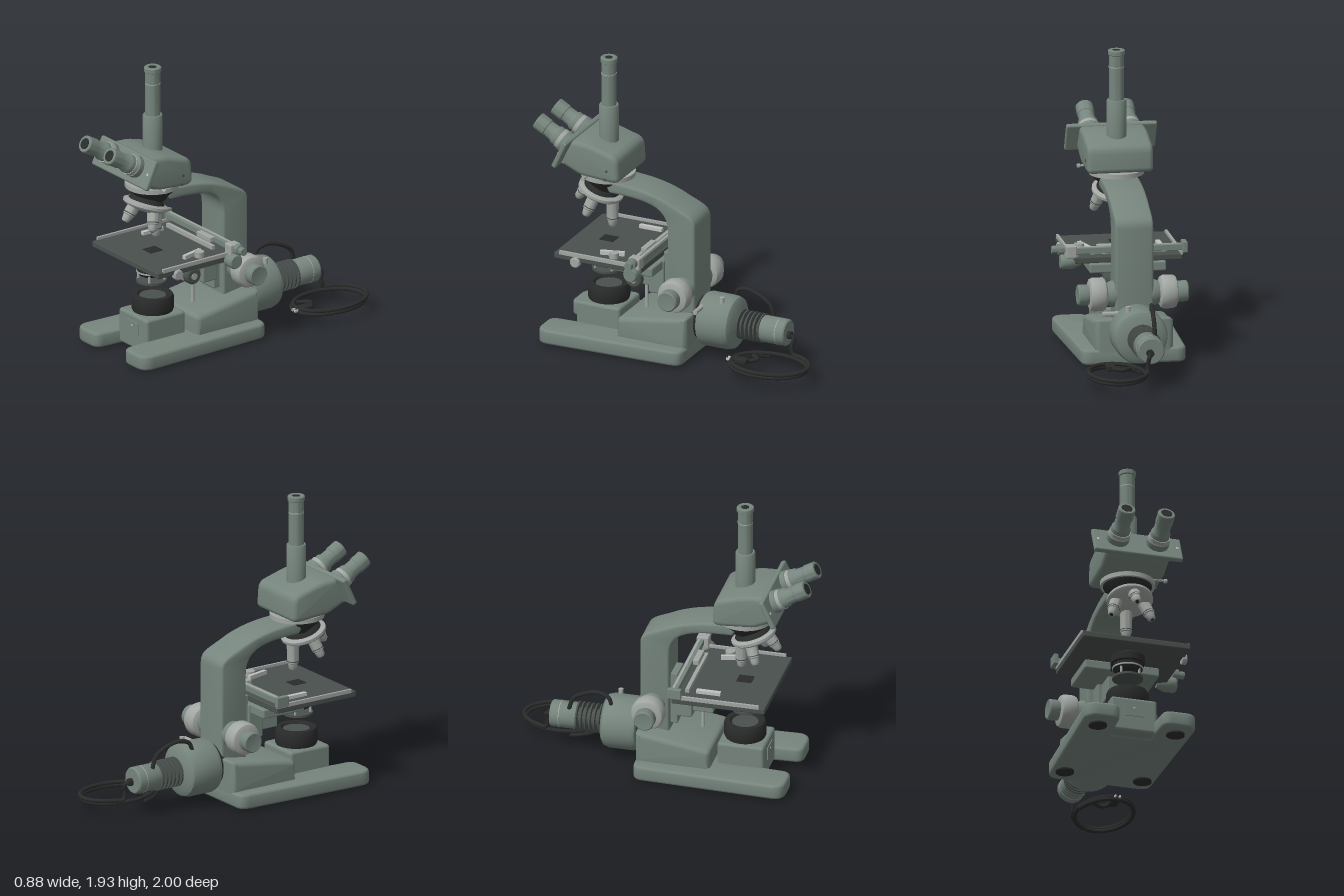
import * as THREE from 'three';
import { toCreasedNormals } from 'three/addons/utils/BufferGeometryUtils.js';
import { RoundedBoxGeometry } from 'three/addons/geometries/RoundedBoxGeometry.js';

const paint = (name, color) => Object.assign(new THREE.MeshStandardMaterial({ color }), { name });
const BODY = paint('greyGreenEnamel', 0x76857d);
const LIGHT = paint('lightGreyMetal', 0xa2a7a3);
const SILVER = paint('silver', 0xbfc3c0);
const DARK = paint('darkStage', 0x4a514d);
const BLACK = paint('black', 0x2a2c2b);
const RAD = Math.PI / 180;

function add(parent, name, geo, mat, x = 0, y = 0, z = 0) {
  const m = new THREE.Mesh(geo, mat);
  m.name = name;
  m.position.set(x, y, z);
  parent.add(m);
  return m;
}

function group(parent, name, x = 0, y = 0, z = 0, rx = 0) {
  const g = new THREE.Group();
  g.name = name;
  g.position.set(x, y, z);
  g.rotation.x = rx;
  parent.add(g);
  return g;
}

// Box given by its extents
function box(parent, name, mat, [x0, x1], [y0, y1], [z0, z1], r = 0) {
  const s = [x1 - x0, y1 - y0, z1 - z0];
  const geo = r ? new RoundedBoxGeometry(...s, 2, r) : new THREE.BoxGeometry(...s);
  return add(parent, name, geo, mat, (x0 + x1) / 2, (y0 + y1) / 2, (z0 + z1) / 2);
}

// Turned part: profile of [radius, height], closed at both ends, along 'y', '+x', '-x' or '-z'
function turned(parent, name, mat, profile, x, y, z, axis = 'y', sides = 36) {
  const pts = [[0, profile[0][1]], ...profile, [0, profile[profile.length - 1][1]]];
  const geo = toCreasedNormals(new THREE.LatheGeometry(pts.map(p => new THREE.Vector2(...p)), sides), 0.6);
  if (axis === '+x') geo.rotateZ(-Math.PI / 2);
  if (axis === '-x') geo.rotateZ(Math.PI / 2);
  if (axis === '-z') geo.rotateX(-Math.PI / 2);
  return add(parent, name, geo, mat, x, y, z);
}
const rod = (r, a, b) => [[r, a], [r, b]];

// Polygon with rounded corners, points are [u, v, radius]
function roundShape(pts) {
  const s = new THREE.Shape(), n = pts.length;
  pts.forEach(([u, v, r = 0.01], i) => {
    const c = new THREE.Vector2(u, v);
    const toward = q => {
      const d = new THREE.Vector2(q[0], q[1]).sub(c);
      return c.clone().add(d.setLength(Math.min(r, d.length() / 2)));
    };
    const a = toward(pts[(i + n - 1) % n]), b = toward(pts[(i + 1) % n]);
    if (i) s.lineTo(a.x, a.y); else s.moveTo(a.x, a.y);
    s.quadraticCurveTo(c.x, c.y, b.x, b.y);
  });
  s.closePath();
  return s;
}

function extrude(shape, depth, bevel) {
  const geo = new THREE.ExtrudeGeometry(shape, {
    depth: depth - 2 * bevel, bevelSize: bevel, bevelThickness: bevel,
    bevelOffset: -bevel, bevelSegments: 3, curveSegments: 12,
  });
  return geo.translate(0, 0, bevel);
}

// Side outline in (z, y), given width across x
function sideSolid(parent, name, mat, shape, width, bevel) {
  const geo = extrude(shape, width, bevel).translate(0, 0, -width / 2).rotateY(-Math.PI / 2);
  return add(parent, name, toCreasedNormals(geo, 0.6), mat);
}

function tube(parent, name, mat, pts, r, segments) {
  const curve = new THREE.CatmullRomCurve3(pts.map(p => new THREE.Vector3(...p)));
  return add(parent, name, new THREE.TubeGeometry(curve, segments, r, 8), mat);
}

function buildStand(g) {
  // Base with two forward legs, drawn in (x, -z)
  const half = [[0.145, -0.875, 0.06], [0.375, -0.875, 0.09], [0.34, 0.14, 0.07]];
  const slot = [0.13, -0.6, 0.02];
  const mirror = ([x, y, r]) => [-x, y, r];
  const plan = roundShape([slot, ...half, ...half.map(mirror).reverse(), mirror(slot)]);
  add(g, 'base', toCreasedNormals(extrude(plan, 0.1, 0.018).rotateX(-Math.PI / 2), 0.6), BODY, 0, 0.01, 0);
  for (const x of [-0.26, 0.26]) for (const z of [0.74, 0])
    turned(g, 'foot', BLACK, rod(0.06, 0, 0.012), x, 0, z);
  sideSolid(g, 'pillarBase', BODY, roundShape([[0.355, 0.08], [0.355, 0.235, 0.03], [-0.14, 0.312, 0.02], [-0.14, 0.08]]), 0.51, 0.035);

  // Curved arm
  const arm = new THREE.Shape();
  arm.moveTo(-0.14, 0.2);
  arm.lineTo(-0.14, 0.9);
  arm.bezierCurveTo(-0.14, 0.98, -0.06, 0.985, 0.05, 1.04);
  arm.bezierCurveTo(0.17, 1.09, 0.3, 1.11, 0.47, 1.112);
  arm.quadraticCurveTo(0.51, 1.075, 0.47, 1.035);
  arm.bezierCurveTo(0.23, 1.03, 0.055, 1.02, 0.055, 0.84);
  arm.lineTo(0.055, 0.2);
  arm.closePath();
  sideSolid(g, 'arm', BODY, arm, 0.248, 0.016);

  // Field lamp in the base
  box(g, 'lampBlock', BODY, [-0.155, 0.155], [0.02, 0.255], [0.38, 0.69], 0.02);
  box(g, 'lampBlockPlaque', BODY, [-0.065, 0.065], [0.125, 0.21], [0.68, 0.696]);
  turned(g, 'plaqueScrew', SILVER, rod(0.008, -0.002, 0.006), 0, 0.18, 0.692);
  turned(g, 'fieldLens', BLACK, [[0.125, 0.24], [0.137, 0.27], [0.137, 0.345], [0.128, 0.365], [0.1, 0.365], [0.09, 0.35]], 0, 0, 0.53);
  turned(g, 'fieldGlass', DARK, rod(0.085, 0.345, 0.354), 0, 0, 0.53);

  // Focus knobs
  for (const s of [-1, 1]) {
    const a = s > 0 ? '+x' : '-x';
    turned(g, 'focusHub', BODY, [[0.085, 0.1], [0.085, 0.14], [0.065, 0.185]], 0, 0.46, -0.055, a);
    turned(g, 'coarseKnob', LIGHT, [[0.075, 0.17], [0.1, 0.182], [0.109, 0.2], [0.109, 0.26], [0.1, 0.28], [0.08, 0.288]], 0, 0.46, -0.055, a, 48);
    turned(g, 'fineKnob', BODY, [[0.06, 0.28], [0.068, 0.3], [0.068, 0.352], [0.06, 0.36], [0.05, 0.358]], 0, 0.46, -0.055, a);
  }
}

function buildHead(g) {
  sideSolid(g, 'headHousing', BODY, roundShape([[0.785, 1.225], [0.705, 1.39, 0.02], [0.585, 1.385, 0.04],
    [0.372, 1.325, 0.05], [0.36, 1.16, 0.03], [0.4, 1.143, 0.03], [0.64, 1.16, 0.03]]), 0.43, 0.03);
  const plate = group(g, 'frontPlate', 0, 1.31, 0.745, -25 * RAD);
  box(plate, 'eyepiecePlate', BODY, [-0.297, 0.297], [-0.1, 0.1], [-0.015, 0.02], 0.012);
  for (const x of [-0.265, 0.265]) box(plate, 'plateScrew', SILVER, [x - 0.008, x + 0.008], [-0.008, 0.008], [0.015, 0.024]);
  for (const x of [-0.133, 0.133]) {
    const e = group(g, 'eyepiece', x, 1.325, 0.745, 60 * RAD);
    turned(e, 'eyepieceCollar', BODY, [[0.07, 0], [0.075, 0.02], [0.075, 0.05], [0.068, 0.055]], 0, 0, 0);
    turned(e, 'collarRing', LIGHT, rod(0.069, 0.05, 0.08), 0, 0, 0);
    turned(e, 'eyepieceTube', BODY, [[0.064, 0.08], [0.064, 0.11], [0.054, 0.125], [0.052, 0.18], [0.057, 0.185],
      [0.057, 0.258], [0.052, 0.264], [0.038, 0.264], [0.034, 0.257]], 0, 0, 0);
    turned(e, 'eyepieceLens', BLACK, rod(0.036, 0.255, 0.266), 0, 0, 0);
  }
  // Vertical camera tube
  turned(g, 'cameraTube', BODY, [[0.064, 1.34], [0.064, 1.595], [0.06, 1.602], [0.049, 1.602], [0.049, 1.895],
    [0.056, 1.9], [0.056, 1.925], [0.05, 1.93], [0.03, 1.93], [0.026, 1.92]], 0, 0, 0.53);
  turned(g, 'cameraTubeRing', LIGHT, rod(0.0505, 1.815, 1.821), 0, 0, 0.53);
  turned(g, 'cameraTubeOpening', BLACK, rod(0.024, 1.918, 1.928), 0, 0, 0.53);
  turned(g, 'headLockScrew', LIGHT, [[0.008, 0.15], [0.008, 0.225], [0.014, 0.227], [0.014, 0.245]], 0, 1.155, 0.6, '+x', 16);
  for (const [y, z] of [[1.225, 0.445], [1.165, 0.455]])
    turned(g, 'headScrew', DARK, rod(0.009, 0.205, 0.219), 0, y, z, '+x', 12);

  // Mount and revolving nosepiece
  turned(g, 'mountRim', LIGHT, rod(0.177, 1.112, 1.142), 0, 0, 0.535, 'y', 48);
  turned(g, 'mountCone', BLACK, [[0.09, 1.02], [0.105, 1.045], [0.15, 1.09], [0.16, 1.115]], 0, 0, 0.535);
  const nose = group(g, 'nosepiece', 0, 0.995, 0.585, -19 * RAD);
  turned(nose, 'nosepieceHub', BLACK, [[0.13, -0.02], [0.12, 0.02], [0.08, 0.06]], 0, 0, 0);
  turned(nose, 'nosepieceRing', LIGHT, [[0.11, -0.035], [0.14, -0.02], [0.15, -0.01], [0.15, 0.008], [0.13, 0.018]], 0, 0, 0, 'y', 48);
  [0.2, 0.145, 0.13, 0.145].forEach((len, i) => {
    const spin = group(nose, 'objectiveMount');
    spin.rotation.y = i * Math.PI / 2;
    const o = group(spin, 'objective', 0, -0.012, -0.09, 19 * RAD);
    turned(o, 'objectiveBarrel', LIGHT, [[0.018, -len], [0.027, -len + 0.012], [0.032, -len + 0.045], [0.038, -len + 0.05], [0.04, -0.02], [0.043, 0]], 0, 0, 0, 'y', 28);
    turned(o, 'objectiveBand', DARK, rod(0.0395, -len + 0.058, -len + 0.064), 0, 0, 0, 'y', 28);
    turned(o, 'objectiveLens', BLACK, rod(0.012, -len - 0.002, -len + 0.005), 0, 0, 0, 'y', 16);
  });
}

function buildStage(g) {
  box(g, 'stagePlate', DARK, [-0.36, 0.36], [0.62, 0.662], [0.13, 0.75], 0.008);
  box(g, 'stageOpening', BLACK, [-0.045, 0.045], [0.655, 0.665], [0.48, 0.58]);
  for (const x of [-0.355, 0.355]) box(g, 'stageEdgeStrip', LIGHT, [x - 0.008, x + 0.008], [0.655, 0.68], [0.13, 0.71]);
  box(g, 'stageSupport', BODY, [-0.25, 0.25], [0.56, 0.622], [0.1, 0.42], 0.01);
  box(g, 'stageBracket', BODY, [-0.1, 0.1], [0.385, 0.62], [0.09, 0.2], 0.01);
  box(g, 'stageSlide', BODY, [-0.08, 0.08], [0.32, 0.68], [0.04, 0.1], 0.006);

  // Mechanical specimen carriage
  box(g, 'carriageRail', BODY, [-0.385, 0.39], [0.685, 0.725], [0.125, 0.17], 0.004);
  box(g, 'carriageScale', LIGHT, [-0.34, 0.36], [0.722, 0.73], [0.133, 0.15]);
  box(g, 'railEndBlock', BODY, [-0.392, -0.36], [0.67, 0.74], [0.11, 0.2], 0.005);
  box(g, 'carriage', LIGHT, [0.04, 0.19], [0.695, 0.73], [0.17, 0.21], 0.004);
  box(g, 'slideHolder', LIGHT, [-0.27, 0.23], [0.663, 0.69], [0.2, 0.225]);
  box(g, 'slideClip', SILVER, [-0.265, -0.235], [0.663, 0.685], [0.27, 0.43]);
  const arm = box(g, 'slideFinger', SILVER, [0.225, 0.25], [0.663, 0.69], [0.31, 0.47]);
  arm.rotation.y = 0.25;
  turned(g, 'fingerPivot', LIGHT, rod(0.032, 0.663, 0.7), 0.275, 0, 0.36, 'y', 20);
  turned(g, 'upperStageKnob', BODY, [[0.015, 0.38], [0.015, 0.41], [0.035, 0.412], [0.035, 0.45], [0.025, 0.452], [0.025, 0.49]], 0, 0.715, 0.16, '+x', 24);
  box(g, 'knobBracket', LIGHT, [0.33, 0.4], [0.66, 0.74], [0.12, 0.2], 0.008);
  turned(g, 'lowerStageKnob', BODY, [[0.03, 0.3], [0.05, 0.355], [0.05, 0.42], [0.042, 0.432]], 0, 0.63, 0.175, '+x', 28);
  turned(g, 'stageLockKnob', LIGHT, [[0.035, 0.345], [0.035, 0.372], [0.028, 0.378]], 0, 0.62, 0.595, '+x', 24);

  // Condenser, its holder and focusing knob
  turned(g, 'condenserTop', BLACK, [[0.1, 0.552], [0.11, 0.56], [0.11, 0.605], [0.09, 0.62]], 0, 0, 0.54);
  box(g, 'condenserHolder', BLACK, [-0.08, 0.08], [0.56, 0.6], [0.32, 0.54], 0.006);
  turned(g, 'condenserBody', BLACK, [[0.08, 0.5], [0.096, 0.52], [0.096, 0.555]], 0, 0, 0.54);
  turned(g, 'condenserRing', LIGHT, rod(0.1, 0.522, 0.532), 0, 0, 0.54);
  turned(g, 'filterTray', DARK, [[0.09, 0.448], [0.1, 0.452], [0.1, 0.467]], 0, 0, 0.54);
  for (let i = 0; i < 4; i++) {
    const a = (i + 0.5) * Math.PI / 2;
    turned(g, 'filterPost', LIGHT, rod(0.008, 0.46, 0.53), 0.085 * Math.cos(a), 0, 0.54 + 0.085 * Math.sin(a), 'y', 10);
  }
  box(g, 'condenserBracket', BODY, [-0.07, 0.07], [0.42, 0.6], [0.19, 0.335], 0.008);
  turned(g, 'condenserKnob', DARK, [[0.03, 0.06], [0.055, 0.085], [0.055, 0.125], [0.045, 0.132]], 0, 0.465, 0.295, '+x', 28);
  turned(g, 'condenserKnobCap', LIGHT, rod(0.022, 0.125, 0.138), 0, 0.465, 0.295, '+x', 20);
  turned(g, 'guideRod', LIGHT, rod(0.011, 0.22, 0.44), 0.04, 0, 0.24, 'y', 12);
}

function buildLampHouse(g) {
  const y = 0.24;
  turned(g, 'lampNeck', BLACK, rod(0.145, 0.12, 0.175), 0, y, 0, '-z');
  turned(g, 'lampHouse', BODY, [[0.15, 0.16], [0.17, 0.168], [0.178, 0.19], [0.178, 0.35], [0.168, 0.385], [0.14, 0.402]], 0, y, 0, '-z', 48);
  turned(g, 'finCore', DARK, rod(0.06, 0.39, 0.59), 0, y, 0, '-z');
  for (let i = 0; i < 6; i++) {
    const d = 0.42 + i * 0.03;
    turned(g, 'coolingFin', DARK, rod(0.097, d, d + 0.01), 0, y, 0, '-z');
  }
  turned(g, 'lampSocket', BODY, [[0.084, 0.575], [0.088, 0.582], [0.088, 0.745], [0.08, 0.755]], 0, y, 0, '-z');
  turned(g, 'socketBand', LIGHT, rod(0.089, 0.69, 0.695), 0, y, 0, '-z');
  turned(g, 'cableGland', BLACK, rod(0.025, 0.75, 0.78), 0.01, y - 0.01, 0, '-z', 16);
  turned(g, 'lampScrew', LIGHT, rod(0.016, 0.39, 0.435), 0.075, 0, -0.315, 'y', 16);
  turned(g, 'lampCatch', LIGHT, rod(0.016, 0.1, 0.22), 0, 0.36, -0.19, '+x', 14);

  // Short lead from housing to socket
  tube(g, 'lampLead', BLACK, [[-0.075, 0.39, -0.34], [-0.07, 0.44, -0.36], [-0.06, 0.462, -0.43],
    [-0.05, 0.44, -0.52], [-0.045, 0.39, -0.6], [-0.045, 0.31, -0.63]], 0.014, 40);

  // Mains cable coiled beside the lamp
  const pts = [[0.01, 0.23, -0.77], [0.02, 0.215, -0.8], [0.03, 0.16, -0.79]];
  for (let i = 0; i <= 48; i++) {
    const t = i / 48, a = Math.PI * (1.1 + 3.8 * t), k = 1 + 0.03 * Math.sin(a * 0.5);
    pts.push([0.215 + 0.185 * k * Math.cos(a), 0.112 - 0.04 * t, -0.72 + 0.262 * k * Math.sin(a)]);
  }
  pts.push([0.09, 0.08, -0.55], [0.16, 0.088, -0.61], [0.22, 0.09, -0.57]);
  tube(g, 'mainsCable', BLACK, pts, 0.014, 260);
  box(g, 'plug', BLACK, [0.195, 0.255], [0.072, 0.108], [-0.57, -0.47], 0.01);
  for (const x of [0.21, 0.24]) box(g, 'plugPin', SILVER, [x - 0.005, x + 0.005], [0.082, 0.098], [-0.475, -0.425]);
}

export function createModel() {
  const model = new THREE.Group();
  model.name = 'microscope';
  const g = group(model, 'instrument', -0.055);
  buildStand(group(g, 'stand'));
  buildHead(group(g, 'head'));
  buildStage(group(g, 'stage'));
  buildLampHouse(group(g, 'lampAssembly'));
  return model;
}
